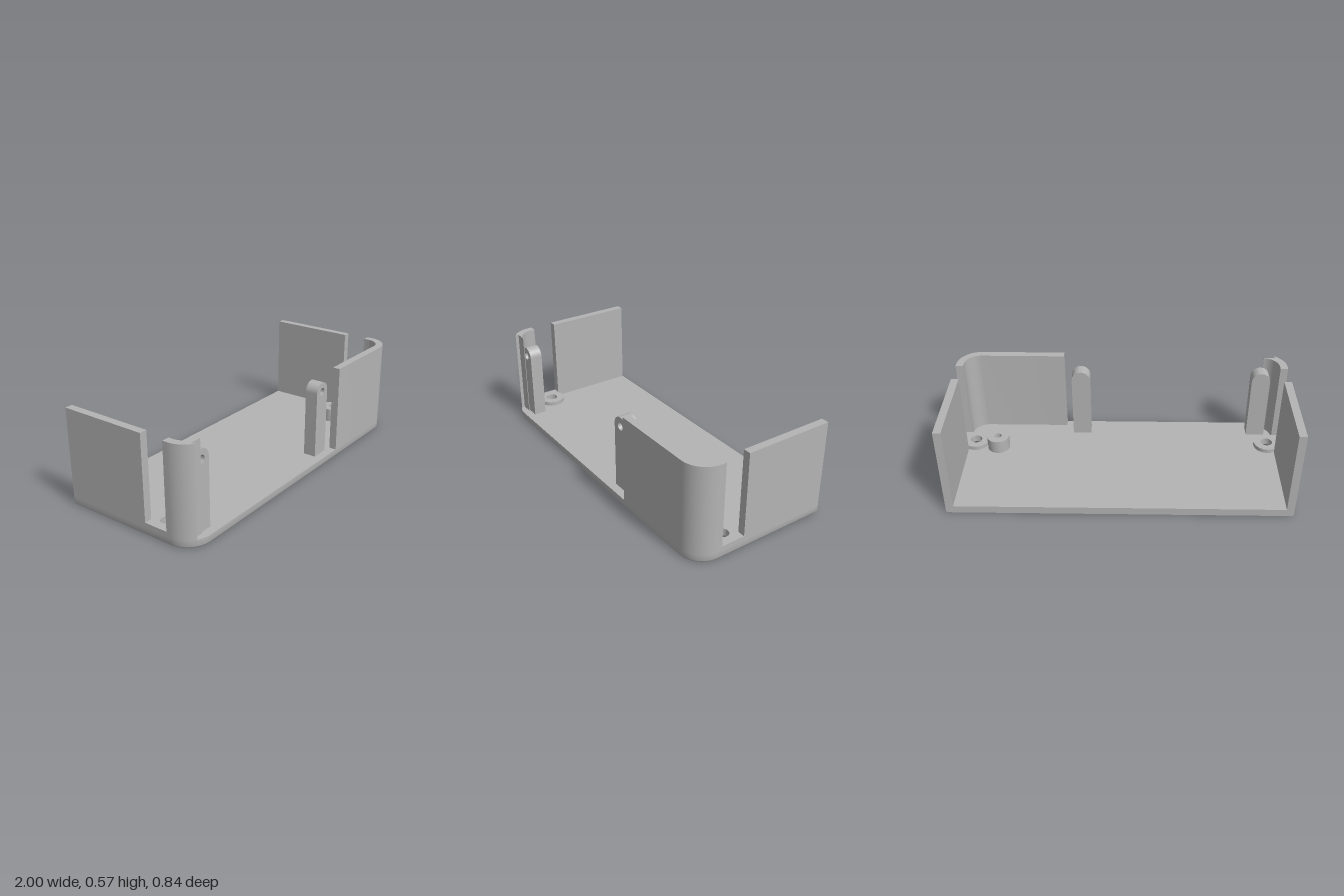
import * as THREE from 'three';
import { toCreasedNormals } from 'three/addons/utils/BufferGeometryUtils.js';

const FLOOR = 0.047, TOP = 0.57, WALL = 0.045, BACK = -0.42, FRONT = 0.42;
const CORNER = 0.14, CX = 1 - CORNER, CZ = FRONT - CORNER;
const HOLE_X = 0.915, HOLE_Z = 0.182, SLOT_BACK = 0.11, SLOT_FRONT = 0.254;

// Points of an arc in plan, as [x, z]; angle 0 is +x, a quarter turn is +z
function arc(cx, cz, r, from, to, steps = 16) {
  return Array.from({ length: steps + 1 }, (_, i) => {
    const a = from + (to - from) * i / steps;
    return [cx + r * Math.cos(a), cz + r * Math.sin(a)];
  });
}
const circle = (cx, cz, r) => arc(cx, cz, r, 0, 2 * Math.PI, 32).slice(0, -1);

function planShape(points, holes, sign) {
  const v = list => list.map(([x, z]) => new THREE.Vector2(x, sign * z));
  const shape = new THREE.Shape(v(points));
  for (const h of holes) shape.holes.push(new THREE.Path(v(h)));
  return shape;
}

// Upright prism from a plan outline
function prism(points, y0, y1, holes = []) {
  const g = new THREE.ExtrudeGeometry(planShape(points, holes, -1), { depth: y1 - y0, bevelEnabled: false });
  g.rotateX(-Math.PI / 2).translate(0, y0, 0);
  return toCreasedNormals(g, 0.6);
}

// Flat horizontal face looking up or down
function cap(points, y, holes, up) {
  const g = new THREE.ShapeGeometry(planShape(points, holes, up ? -1 : 1));
  return g.rotateX(up ? -Math.PI / 2 : Math.PI / 2).translate(0, y, 0);
}

function lathe(profile) {
  const g = new THREE.LatheGeometry(profile.map(([r, y]) => new THREE.Vector2(r, y)), 32);
  return toCreasedNormals(g, 0.5);
}

// Floor outline with round front corners, inset everywhere but the back
function outline(inset) {
  const r = CORNER - inset;
  return [
    [-1 + inset, BACK],
    ...arc(-CX, CZ, r, Math.PI, Math.PI / 2),
    ...arc(CX, CZ, r, Math.PI / 2, 0),
    [1 - inset, BACK],
  ];
}

// Rim of the floor, with a softened bottom edge
function floorRim() {
  const rings = [[0, 0.012], [0.0035, 0.0035], [0.012, 0], [FLOOR, 0]]
    .map(([y, inset]) => outline(inset).map(([x, z]) => [x, y, z]));
  const pos = [];
  for (let k = 0; k < rings.length - 1; k++) {
    const lo = rings[k], hi = rings[k + 1], n = lo.length;
    for (let i = 0; i < n; i++) {
      const j = (i + 1) % n;
      pos.push(...lo[i], ...lo[j], ...hi[j], ...lo[i], ...hi[j], ...hi[i]);
    }
  }
  const g = new THREE.BufferGeometry();
  g.setAttribute('position', new THREE.Float32BufferAttribute(pos, 3));
  return toCreasedNormals(g, 0.9);
}

export function createModel() {
  const model = new THREE.Group();
  model.name = 'enclosureHalf';
  const grey = new THREE.MeshStandardMaterial({ color: 0xb4b4b4 });
  grey.name = 'plainGrey';

  function add(name, geometry, parent = model) {
    const mesh = new THREE.Mesh(geometry, grey);
    mesh.name = name;
    parent.add(mesh);
    return mesh;
  }

  // Floor with two countersunk openings
  const openings = [-1, 1].map(s => circle(s * HOLE_X, HOLE_Z, 0.06));
  add('floorRim', floorRim());
  add('floorTop', cap(outline(0), FLOOR, openings, true));
  add('floorUnderside', cap(outline(0.012), 0, openings, false));

  for (const s of [-1, 1]) {
    const side = s > 0 ? 'left' : 'right';
    // Side wall behind the slot
    const wall = new THREE.BoxGeometry(WALL, TOP - FLOOR, SLOT_BACK - BACK);
    wall.translate(s * (1 - WALL / 2), (TOP + FLOOR) / 2, (SLOT_BACK + BACK) / 2);
    add(side + 'SideWall', wall);

    // Raised screw seat that runs out through the slot
    const a = Math.asin((SLOT_FRONT - SLOT_BACK) / 2 / 0.08);
    const seat = [
      [1, SLOT_FRONT],
      ...arc(HOLE_X, HOLE_Z, 0.08, a, 2 * Math.PI - a, 32),
      [1, SLOT_BACK],
    ].map(([x, z]) => [s * x, z]);
    add(side + 'ScrewSeat', prism(seat, FLOOR, 0.072, [circle(s * HOLE_X, HOLE_Z, 0.035)]));

    // Countersunk hole lining
    const lining = add(side + 'ScrewHole', lathe([[0.035, 0.072], [0.035, 0.03], [0.06, 0]]));
    lining.position.set(s * HOLE_X, 0, HOLE_Z);
  }

  // Front wall wrapping round the left corner
  const inner = CORNER - WALL;
  add('frontWall', prism([
    [0.355, FRONT],
    ...arc(CX, CZ, CORNER, Math.PI / 2, 0),
    [1, SLOT_FRONT], [1 - WALL, SLOT_FRONT],
    ...arc(CX, CZ, inner, 0, Math.PI / 2),
    [0.355, FRONT - WALL],
  ], FLOOR, TOP));

  // Right corner post of the wall, with a stepped front edge
  const endOuter = Math.PI - Math.acos((0.935 - CX) / CORNER);
  const endInner = Math.PI - Math.acos(0.01 / inner);
  add('rightCornerWall', prism([
    [-1, SLOT_FRONT],
    ...arc(-CX, CZ, CORNER, Math.PI, endOuter),
    [-0.935, 0.378], [-0.87, 0.378],
    ...arc(-CX, CZ, inner, endInner, Math.PI),
    [-1 + WALL, SLOT_FRONT],
  ], FLOOR, TOP));

  // Round-topped mounting tabs with blind holes in front
  const tabLayer = (z0, z1, drilled) => {
    const shape = new THREE.Shape();
    shape.moveTo(-0.056, FLOOR);
    shape.lineTo(0.056, FLOOR);
    shape.lineTo(0.056, 0.449);
    shape.absarc(0, 0.449, 0.056, 0, Math.PI, false);
    shape.closePath();
    if (drilled) shape.holes.push(new THREE.Path().absarc(0, 0.449, 0.023, 0, 2 * Math.PI, true));
    const g = new THREE.ExtrudeGeometry(shape, { depth: z1 - z0, bevelEnabled: false, curveSegments: 20 });
    return toCreasedNormals(g.translate(0, 0, z0), 0.6);
  };
  for (const [name, x] of [['rightTab', -0.855], ['middleTab', 0.251]]) {
    const tab = new THREE.Group();
    tab.name = name;
    tab.position.x = x;
    add('tabBack', tabLayer(0.293, 0.31, false), tab);
    add('tabFront', tabLayer(0.31, 0.37, true), tab);
    model.add(tab);
  }

  // Round standoff with a pilot hole
  const standoff = add('standoff', lathe([
    [0.068, FLOOR], [0.068, 0.131], [0.022, 0.131], [0.022, 0.06], [0, 0.06],
  ]));
  standoff.position.set(0.768, 0, 0.142);

  return model;
}
